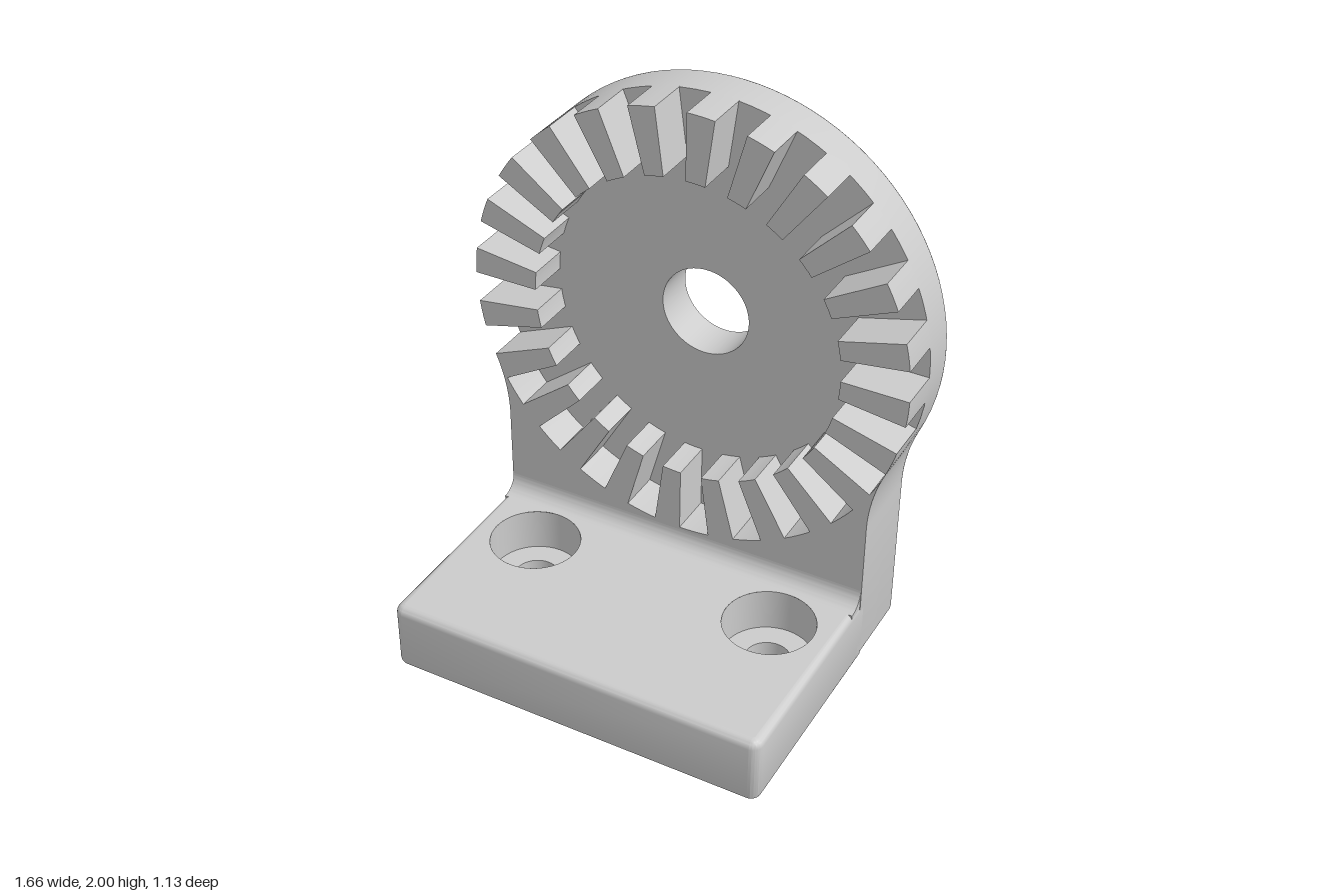
import * as THREE from 'three';
import { mergeGeometries, toCreasedNormals } from 'three/addons/utils/BufferGeometryUtils.js';

const W = 0.715;                 // half width of the foot
const CY = 1.17, R = 0.83;       // disc centre height and radius
const BACK = -0.565, FLOOR = -0.4, FRONT = -0.235;
const TOP = 0.265;               // top of the foot
const CORNER = 0.04, BEVEL = 0.03;

// Concave blend between the straight sides and the disc
const BY = 0.6, D = CY - BY;
const BR = (W * W + D * D - R * R) / (2 * (R - W));
const BA = Math.atan2(D, W + BR);

function circle(x, y, r) {
  return new THREE.Path().absarc(x, y, r, 0, Math.PI * 2, false);
}

// Closed outline as points without repeats
function outline(shape) {
  const pts = shape.getPoints(32);
  return pts.filter((p, i) => p.distanceTo(pts[(i + 1) % pts.length]) > 1e-5);
}

// Shrinks a counter-clockwise outline by a distance
function inset(pts, d) {
  const n = pts.length;
  return pts.map((p, i) => {
    const a = p.clone().sub(pts[(i + n - 1) % n]).normalize();
    const t = pts[(i + 1) % n].clone().sub(p).normalize().add(a).normalize();
    return new THREE.Vector2(p.x - t.y * d, p.y + t.x * d);
  });
}

// Flat end face with holes
function cap(pts, z, holes, flip) {
  const shape = new THREE.Shape(pts);
  shape.holes = holes;
  const g = new THREE.ShapeGeometry(shape, 32).toNonIndexed();
  g.deleteAttribute('uv');
  if (flip) g.rotateY(Math.PI).scale(1, 1, 1);
  return g.translate(0, 0, z);
}

// Solid lofted through [inset, z] sections, closed by two caps
function loft(shape, sections, startHoles = [], endHoles = []) {
  const pts = outline(shape), pos = [];
  const rings = sections.map(([d, z]) => inset(pts, d).map(p => [p.x, p.y, z]));
  for (let k = 0; k < rings.length - 1; k++) {
    const a = rings[k], b = rings[k + 1];
    for (let i = 0; i < a.length; i++) {
      const j = (i + 1) % a.length;
      pos.push(...a[i], ...a[j], ...b[j], ...a[i], ...b[j], ...b[i]);
    }
  }
  let wall = new THREE.BufferGeometry();
  wall.setAttribute('position', new THREE.Float32BufferAttribute(pos, 3));
  wall = toCreasedNormals(wall, 0.5);
  const first = sections[0], last = sections[sections.length - 1];
  // All outlines and hole layouts mirror in x, so turning a cap keeps its shape
  return mergeGeometries([
    wall,
    cap(inset(pts, first[0]), first[1], startHoles, true),
    cap(inset(pts, last[0]), last[1], endHoles, false),
  ]);
}

// Quarter-round sections; dir +1 grows from a start face, -1 closes an end face
function round(z, dir) {
  const s = [];
  for (let i = 0; i <= 5; i++) {
    const a = (i / 5) * Math.PI / 2;
    s.push([BEVEL * (1 - Math.sin(a)), z + dir * BEVEL * (1 - Math.cos(a))]);
  }
  return dir > 0 ? s : s.reverse();
}

// Upright outline; the disc arc goes over the top, or under it for the lower front
function uprightShape(underDisc) {
  const s = new THREE.Shape();
  s.moveTo(-W + CORNER, 0);
  s.lineTo(W - CORNER, 0);
  s.absarc(W - CORNER, CORNER, CORNER, -Math.PI / 2, 0, false);
  s.absarc(W + BR, BY, BR, Math.PI, Math.PI - BA, true);
  s.absarc(0, CY, R, -BA, Math.PI + BA, underDisc);
  s.absarc(-W - BR, BY, BR, BA, 0, true);
  s.absarc(-W + CORNER, CORNER, CORNER, Math.PI, Math.PI * 1.5, false);
  return s;
}

export function createModel() {
  const model = new THREE.Group();
  const grey = new THREE.MeshStandardMaterial({ color: 0xcccccc });
  const inner = new THREE.MeshStandardMaterial({ color: 0xcccccc, side: THREE.DoubleSide });
  const add = (name, geometry, material = grey, parent = model) => {
    const m = new THREE.Mesh(geometry, material);
    m.name = name;
    parent.add(m);
    return m;
  };

  // Back plate with rounded rear edge and axle hole
  const axle = [circle(0, CY, 0.167)];
  add('backPlate', loft(uprightShape(false), [...round(BACK, 1), [0, FLOOR]], axle, axle));
  add('axleHoleWall', new THREE.CylinderGeometry(0.167, 0.167, FLOOR - BACK, 64, 1, true)
    .rotateX(Math.PI / 2).translate(0, CY, (FLOOR + BACK) / 2), inner);

  // Thicker lower front, cut away by the toothed disc
  add('lowerUpright', loft(uprightShape(true), [[0, FLOOR], [0, FRONT]]));

  // Ring of radial face teeth
  const teeth = new THREE.Group();
  teeth.name = 'teeth';
  teeth.position.set(0, CY, FLOOR - 0.005);
  model.add(teeth);
  const deg = Math.PI / 180, a0 = 90 * deg - 7.3 * deg, a1 = 90 * deg - 0.3 * deg;
  const toothShape = new THREE.Shape();
  toothShape.absarc(0, 0, R, a0, a1, false);
  toothShape.absarc(0, 0, 0.585, a1, a0, true);
  const toothGeo = new THREE.ExtrudeGeometry(toothShape,
    { depth: FRONT - FLOOR + 0.005, bevelEnabled: false, curveSegments: 3 });
  for (let i = 0; i < 24; i++) {
    add('tooth', toothGeo, grey, teeth).rotation.z = i * 15 * deg;
  }

  // Foot plate with rounded edges and two counterbored holes
  const zf = 0.565, zb = -0.265;
  const plan = new THREE.Shape();
  plan.moveTo(-W + CORNER, -zf);
  plan.absarc(W - CORNER, -zf + CORNER, CORNER, -Math.PI / 2, 0, false);
  plan.lineTo(W, -zb);
  plan.lineTo(-W, -zb);
  plan.absarc(-W + CORNER, -zf + CORNER, CORNER, Math.PI, Math.PI * 1.5, false);
  const HX = 0.475, rBig = 0.166, rSmall = 0.083, seat = 0.1;
  const holes = r => [-HX, HX].map(x => circle(x, 0, r));
  add('foot', loft(plan, [...round(0, 1), ...round(TOP, -1)], holes(rSmall), holes(rBig))
    .rotateX(-Math.PI / 2));
  for (const x of [-HX, HX]) {
    add('boltHoleWall', new THREE.CylinderGeometry(rSmall, rSmall, seat, 48, 1, true)
      .translate(x, seat / 2, 0), inner);
    add('counterboreWall', new THREE.CylinderGeometry(rBig, rBig, TOP - seat, 48, 1, true)
      .translate(x, (TOP + seat) / 2, 0), inner);
    add('counterboreSeat', new THREE.RingGeometry(rSmall, rBig, 48)
      .rotateX(-Math.PI / 2).translate(x, seat, 0), inner);
  }

  // Concave fillet between foot and upright, drawn with z mirrored then swept along x
  const F = 0.065;
  const f = new THREE.Shape();
  f.moveTo(0.01, -0.04);
  f.lineTo(0.01, F);
  f.lineTo(0, F);
  f.absarc(-F, F, F, 0, -Math.PI / 2, true);
  f.lineTo(-F, -0.04);
  const fillet = new THREE.ExtrudeGeometry(f,
    { depth: 2 * W - 0.004, bevelEnabled: false, curveSegments: 8 });
  fillet.rotateY(Math.PI / 2).translate(-W + 0.002, TOP, FRONT);
  add('fillet', toCreasedNormals(fillet, 0.5));

  return model;
}
